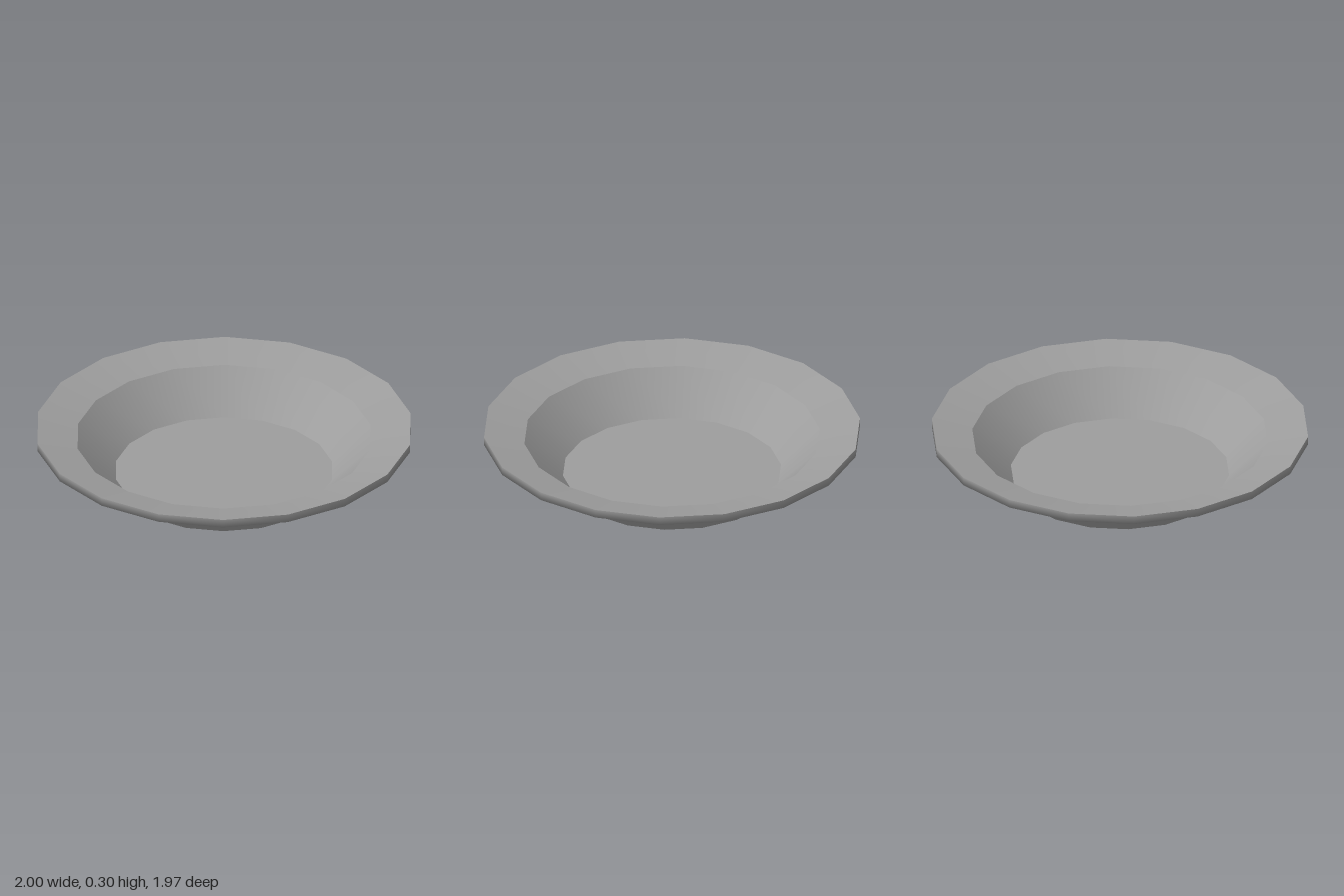
import * as THREE from 'three';

const SIDES = 18;

// Profiles as [radius, height]: each part is smooth in itself and meets the next at a sharp edge
const PARTS = {
  baseCentre: [[0, 0.004], [0.4, 0.004]],
  baseRing: [[0.4, 0.004], [0.58, 0]],
  outerWall: [[0.58, 0], [0.79, 0.21]],
  rimUndersideAndEdge: [[0.79, 0.21], [1, 0.255], [1, 0.3]],
  rimTop: [[1, 0.3], [0.785, 0.25]],
  innerWall: [[0.785, 0.25], [0.58, 0.046]],
  floor: [[0.58, 0.046], [0, 0.046]],
};

export function createModel() {
  const group = new THREE.Group();
  group.name = 'dish';
  const material = new THREE.MeshStandardMaterial({ color: 0x9d9d9d });

  for (const [name, profile] of Object.entries(PARTS)) {
    const points = profile.map(([r, y]) => new THREE.Vector2(r, y));
    // Start on +x so that a corner lies on each end of the x axis
    const part = new THREE.Mesh(new THREE.LatheGeometry(points, SIDES, Math.PI / 2), material);
    part.name = name;
    group.add(part);
  }
  return group;
}
